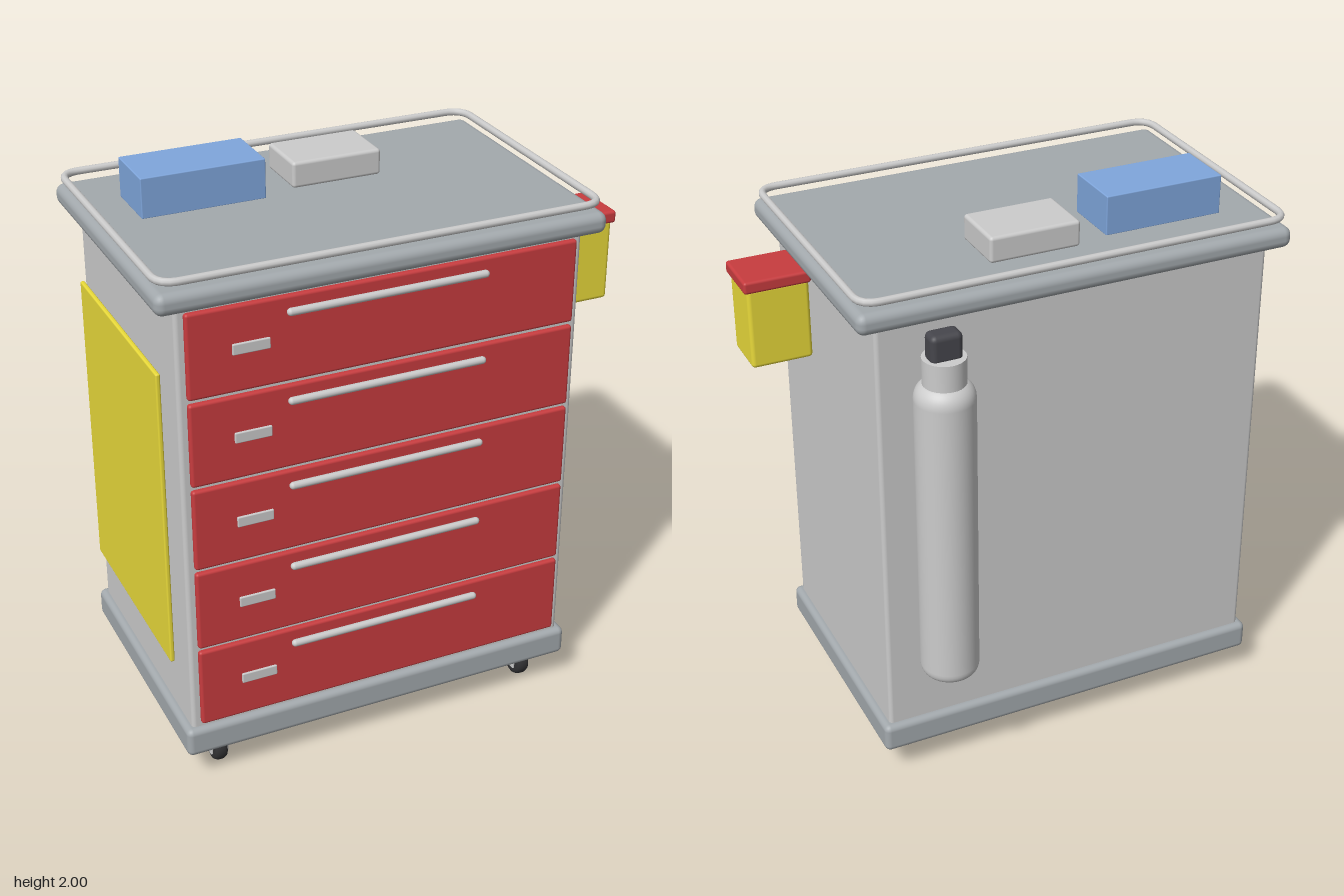
import * as THREE from 'three';
import { RoundedBoxGeometry } from 'three/addons/geometries/RoundedBoxGeometry.js';

const paint = (color) => new THREE.MeshStandardMaterial({ color });
const grey = paint(0xcccccc);
const steel = paint(0xa3a9ad);
const red = paint(0xc83c3f);
const yellow = paint(0xe8d93a);
const blue = paint(0x7fa6dc);
const dark = paint(0x46464c);
const rubber = paint(0x333335);

// centre of the cabinet, which is offset by the items hung on its sides
const CX = -0.09, CZ = 0.087;

function add(parent, name, geometry, material, x = 0, y = 0, z = 0) {
  const mesh = new THREE.Mesh(geometry, material);
  mesh.name = name;
  mesh.position.set(x, y, z);
  parent.add(mesh);
  return mesh;
}

// rounded box given by its limits on each axis
function block(parent, name, material, [x0, x1], [y0, y1], [z0, z1], radius) {
  const geometry = new RoundedBoxGeometry(x1 - x0, y1 - y0, z1 - z0, 3, radius);
  return add(parent, name, geometry, material, (x0 + x1) / 2, (y0 + y1) / 2, (z0 + z1) / 2);
}

// closed rail following a rectangle with rounded corners
function railGeometry(halfX, halfZ, corner, radius) {
  const path = new THREE.CurvePath();
  const corners = [[1, 1], [-1, 1], [-1, -1], [1, -1]];
  const at = (x, z) => new THREE.Vector3(x, 0, z);
  const ends = corners.map(([sx, sz], i) => {
    const alongX = at(sx * (halfX - corner), sz * halfZ);
    const alongZ = at(sx * halfX, sz * (halfZ - corner));
    return i % 2 ? [alongX, alongZ] : [alongZ, alongX];
  });
  ends.forEach(([a, b], i) => {
    const [sx, sz] = corners[i];
    path.add(new THREE.QuadraticBezierCurve3(a, at(sx * halfX, sz * halfZ), b));
    path.add(new THREE.LineCurve3(b, ends[(i + 1) % 4][0]));
  });
  return new THREE.TubeGeometry(path, 240, radius, 10, true);
}

function createDrawer(bottom) {
  const drawer = new THREE.Group();
  drawer.name = 'drawer';
  block(drawer, 'drawerFront', red, [-0.77, 0.595], [0, 0.296], [0.53, 0.562], 0.01);
  const handle = add(drawer, 'drawerHandle', new THREE.CapsuleGeometry(0.013, 0.678, 6, 12), grey, -0.09, 0.246, 0.574);
  handle.rotation.z = Math.PI / 2;
  block(drawer, 'labelHolder', grey, [-0.622, -0.495], [0.132, 0.17], [0.555, 0.569], 0.004);
  drawer.position.y = bottom;
  return drawer;
}

function createCaster(x, z) {
  const caster = new THREE.Group();
  caster.name = 'caster';
  // tyre with rounded shoulders
  const profile = [[0, -0.025], [0.045, -0.025], [0.056, -0.021], [0.062, -0.01],
    [0.062, 0.01], [0.056, 0.021], [0.045, 0.025], [0, 0.025]].map(([r, y]) => new THREE.Vector2(r, y));
  const wheel = add(caster, 'wheel', new THREE.LatheGeometry(profile, 28), rubber, 0, 0.062, 0);
  wheel.rotation.z = Math.PI / 2;
  block(caster, 'casterFork', grey, [-0.033, 0.033], [0.037, 0.12], [-0.033, 0.033], 0.004);
  caster.position.set(x, 0, z);
  return caster;
}

function createGasCylinder() {
  const tank = new THREE.Group();
  tank.name = 'gasCylinder';
  const shape = new THREE.Path();
  shape.moveTo(0, 0.495);
  shape.lineTo(0.055, 0.495);
  shape.quadraticCurveTo(0.101, 0.495, 0.101, 0.54);
  shape.lineTo(0.101, 1.565);
  shape.quadraticCurveTo(0.101, 1.605, 0.068, 1.625);
  shape.lineTo(0, 1.625);
  add(tank, 'cylinderBody', new THREE.LatheGeometry(shape.getPoints(8), 40), grey);
  add(tank, 'cylinderNeck', new THREE.CylinderGeometry(0.072, 0.072, 0.095, 32), grey, 0, 1.667, 0);
  block(tank, 'valveKnob', dark, [-0.055, 0.055], [1.7, 1.802], [-0.035, 0.035], 0.02);
  tank.position.set(0.44, 0, -0.496);
  return tank;
}

export function createModel() {
  const cart = new THREE.Group();
  cart.name = 'drawerCart';

  // cabinet, base and worktop
  block(cart, 'cabinet', grey, [-0.8, 0.62], [0.2, 1.8], [-0.37, 0.545], 0.015);
  block(cart, 'base', steel, [-0.825, 0.645], [0.112, 0.22], [-0.394, 0.568], 0.022);
  block(cart, 'worktop', steel, [-0.87, 0.69], [1.788, 1.862], [-0.42, 0.594], 0.03);
  add(cart, 'guardRail', railGeometry(0.762, 0.489, 0.07, 0.013), grey, CX, 1.895, CZ);

  // drawers
  for (let i = 0; i < 5; i++) cart.add(createDrawer(0.235 + i * 0.3103));

  // casters
  for (const x of [-0.687, 0.51]) for (const z of [-0.234, 0.46]) cart.add(createCaster(x, z));

  // boxes on the worktop
  block(cart, 'supplyBox', blue, [-0.706, -0.273], [1.86, 2], [-0.207, 0.01], 0.004);
  block(cart, 'smallBox', grey, [-0.16, 0.165], [1.86, 1.952], [-0.243, -0.028], 0.012);

  // waste bin on the left side
  block(cart, 'wasteBin', yellow, [0.638, 0.855], [1.427, 1.72], [0.177, 0.36], 0.014);
  block(cart, 'wasteBinLid', red, [0.632, 0.867], [1.71, 1.754], [0.168, 0.367], 0.01);

  // board on the right side
  block(cart, 'sideBoard', yellow, [-0.841, -0.825], [0.456, 1.544], [-0.29, 0.47], 0.006);

  // cylinder at the back
  cart.add(createGasCylinder());
  return cart;
}
